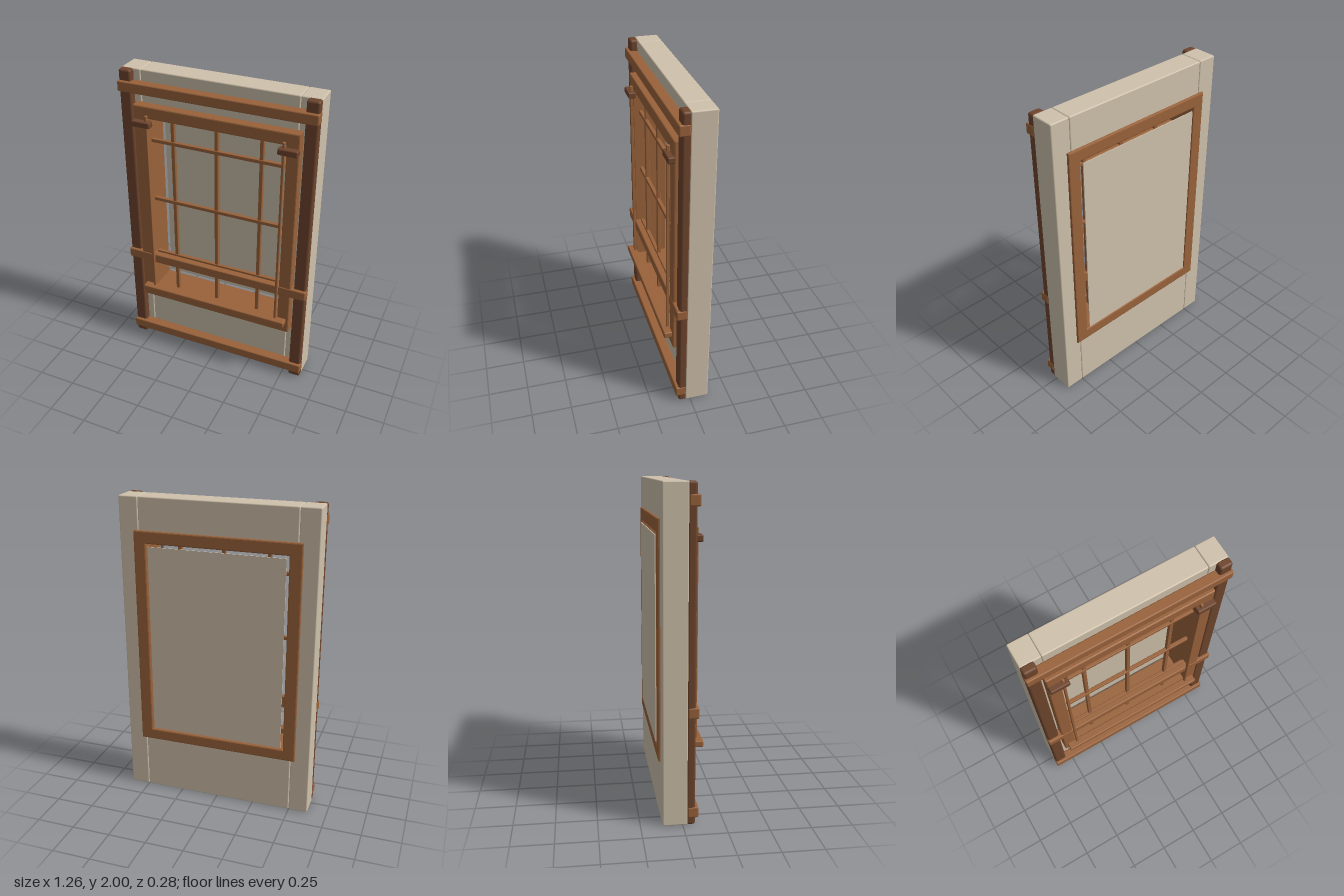
import * as THREE from 'three';
import { RoundedBoxGeometry } from 'three/addons/geometries/RoundedBoxGeometry.js';

const plaster = new THREE.MeshStandardMaterial({ name: 'plaster', color: 0xcfc1ab });
const wood = new THREE.MeshStandardMaterial({ name: 'wood', color: 0x99623a });
const darkWood = new THREE.MeshStandardMaterial({ name: 'dark wood', color: 0x6e452d });

// Box with softened edges, given by its extents on each axis
function block(name, material, [x0, x1], [y0, y1], [z0, z1], radius = 0.008) {
  const geometry = new RoundedBoxGeometry(x1 - x0, y1 - y0, z1 - z0, 2, radius);
  const mesh = new THREE.Mesh(geometry, material);
  mesh.name = name;
  mesh.position.set((x0 + x1) / 2, (y0 + y1) / 2, (z0 + z1) / 2);
  return mesh;
}

// The same block on the left and right
function pair(group, name, material, [x0, x1], y, z, radius) {
  group.add(block(name + 'Left', material, [x0, x1], y, z, radius));
  group.add(block(name + 'Right', material, [-x1, -x0], y, z, radius));
}

function rectangle(path, w, y0, y1) {
  path.moveTo(-w, y0);
  path.lineTo(w, y0);
  path.lineTo(w, y1);
  path.lineTo(-w, y1);
  path.closePath();
  return path;
}

// Deep frame passing through the wall opening
function windowFrame() {
  const shape = rectangle(new THREE.Shape(), 0.53, 0.37, 1.795);
  shape.holes.push(rectangle(new THREE.Path(), 0.45, 0.445, 1.715));
  const bevel = 0.008;
  const geometry = new THREE.ExtrudeGeometry(shape, {
    depth: 0.225 - 2 * bevel, bevelThickness: bevel, bevelSize: bevel,
    bevelOffset: -bevel, bevelSegments: 2,
  });
  const mesh = new THREE.Mesh(geometry, wood);
  mesh.name = 'windowFrame';
  mesh.position.z = -0.135 + bevel;
  return mesh;
}

export function createModel() {
  const model = new THREE.Group();
  model.name = 'wallWithWindow';

  // Plaster wall around the opening
  const wallZ = [-0.12, 0.03];
  pair(model, 'wallSide', plaster, [0.5, 0.625], [0, 2], wallZ);
  model.add(block('wallBelow', plaster, [-0.5, 0.5], [0, 0.42], wallZ));
  model.add(block('wallAbove', plaster, [-0.5, 0.5], [1.75, 2], wallZ));

  // Timber posts and cross rails
  pair(model, 'post', darkWood, [0.545, 0.625], [0, 2], [0.022, 0.075], 0.014);
  for (const y of [0.078, 0.695, 1.898]) {
    model.add(block('crossRail', wood, [-0.628, 0.628], [y - 0.033, y + 0.033], [0.03, 0.094]));
  }

  model.add(windowFrame());

  // Thin panel on the back of the window
  const panel = new THREE.Mesh(new THREE.BoxGeometry(0.87, 1.24, 0.006), plaster);
  panel.name = 'backPanel';
  panel.position.set(0, 1.08, -0.137);
  model.add(panel);

  // Lattice
  const lattice = new THREE.Group();
  lattice.name = 'lattice';
  for (const x of [-0.29, 0, 0.29]) {
    lattice.add(block('latticeUpright', wood, [x - 0.012, x + 0.012], [0.46, 1.7], [0.026, 0.05], 0.004));
  }
  for (const y of [0.73, 1.145, 1.56]) {
    lattice.add(block('latticeBar', wood, [-0.435, 0.435], [y - 0.012, y + 0.012], [0.03, 0.054], 0.004));
  }
  model.add(lattice);

  // Sill bar, brackets and slim rods on the front
  model.add(block('sillBar', wood, [-0.51, 0.51], [0.44, 0.48], [0.085, 0.14]));
  pair(model, 'bracket', darkWood, [0.408, 0.53], [1.665, 1.705], [0.075, 0.125]);
  pair(model, 'rod', wood, [0.432, 0.448], [0.43, 1.74], [0.09, 0.11], 0.004);

  return model;
}
